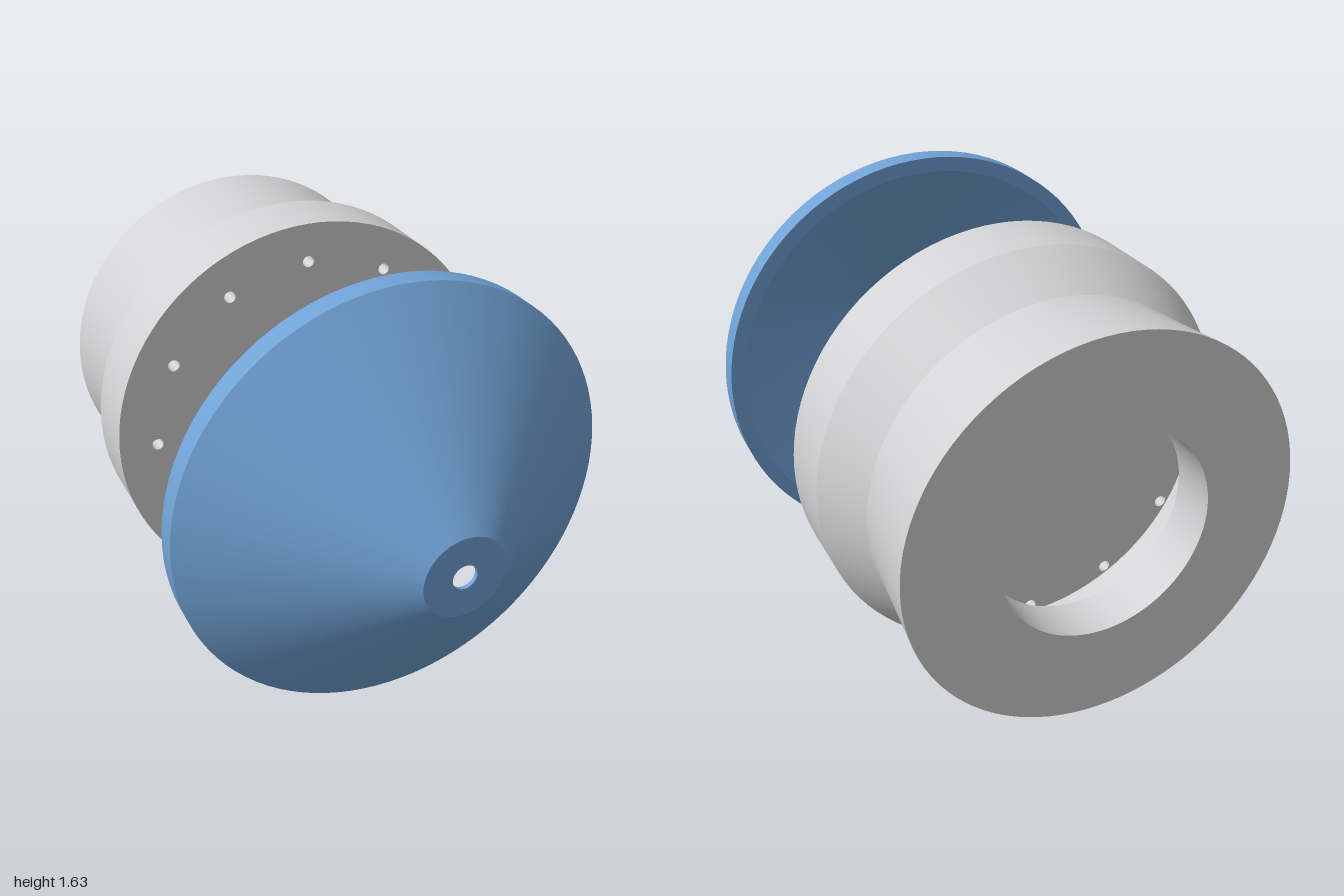
import * as THREE from 'three';
import { mergeGeometries } from 'three/addons/utils/BufferGeometryUtils.js';

const SEGMENTS = 96;
const AXIS_HEIGHT = 0.815;

// Turned part about the z axis; profile points are [radius, z].
// Each profile segment is its own lathe, so edges stay sharp.
function turned(profile, segments = SEGMENTS) {
  const bands = [];
  for (let i = 0; i < profile.length - 1; i++) {
    const pair = [profile[i], profile[i + 1]].map(([r, z]) => new THREE.Vector2(r, z));
    bands.push(new THREE.LatheGeometry(pair, segments));
  }
  return mergeGeometries(bands).rotateX(Math.PI / 2);
}

export function createModel() {
  const model = new THREE.Group();
  const blue = new THREE.MeshStandardMaterial({ color: 0x70a2d5 });
  blue.name = 'blue';
  const grey = new THREE.MeshStandardMaterial({ color: 0xd3d3d5 });
  grey.name = 'light grey';

  function add(parent, name, geometry, material) {
    const mesh = new THREE.Mesh(geometry, material);
    mesh.name = name;
    parent.add(mesh);
    return mesh;
  }

  // Hollow nose cone with a rim and a pierced tip
  add(model, 'noseCone', turned([
    [0.76, 0.44], [0.815, 0.44], [0.815, 0.525], [0.15, 1],
    [0.045, 1], [0.045, 0.985], [0.76, 0.47], [0.76, 0.44],
  ]), blue);

  // Flat spacer disc with a centre hole
  add(model, 'spacerDisc', turned([
    [0.045, 0.12], [0.5, 0.12], [0.5, 0.205], [0.045, 0.205], [0.045, 0.12],
  ]), blue);

  // Waisted body: outer skin, back lip and inner cavity
  const body = new THREE.Group();
  body.name = 'body';
  model.add(body);
  const frontZ = -0.195, floorZ = -0.5, cavityRadius = 0.65;
  add(body, 'bodyShell', turned([
    [cavityRadius, floorZ], [cavityRadius, -0.83], [0.376, -0.83], [0.376, -1],
    [0.7, -1], [0.667, -0.68], [0.665, -0.63], [0.768, -0.44], [0.768, frontZ],
  ]), grey);

  // Ring of bolt holes through the front plate
  const holeCount = 12, holeRing = 0.622, holeRadius = 0.022;
  const centres = Array.from({ length: holeCount }, (_, i) => {
    const a = (i / holeCount) * Math.PI * 2;
    return [Math.cos(a) * holeRing, Math.sin(a) * holeRing];
  });
  function piercedDisc(radius) {
    const disc = new THREE.Shape().absarc(0, 0, radius, 0, Math.PI * 2, false);
    for (const [x, y] of centres) {
      disc.holes.push(new THREE.Path().absarc(x, y, holeRadius, 0, Math.PI * 2, true));
    }
    return new THREE.ShapeGeometry(disc, SEGMENTS / 2);
  }
  add(body, 'frontPlate', piercedDisc(0.768).translate(0, 0, frontZ), grey);
  add(body, 'cavityFloor', piercedDisc(cavityRadius).rotateY(Math.PI).translate(0, 0, floorZ), grey);
  const tunnels = centres.map(([x, y]) =>
    turned([[holeRadius, frontZ], [holeRadius, floorZ]], 20).translate(x, y, 0));
  add(body, 'boltHoles', mergeGeometries(tunnels), grey);

  // Lift everything so the cone rim rests on the ground
  for (const part of model.children) part.position.y = AXIS_HEIGHT;
  return model;
}
